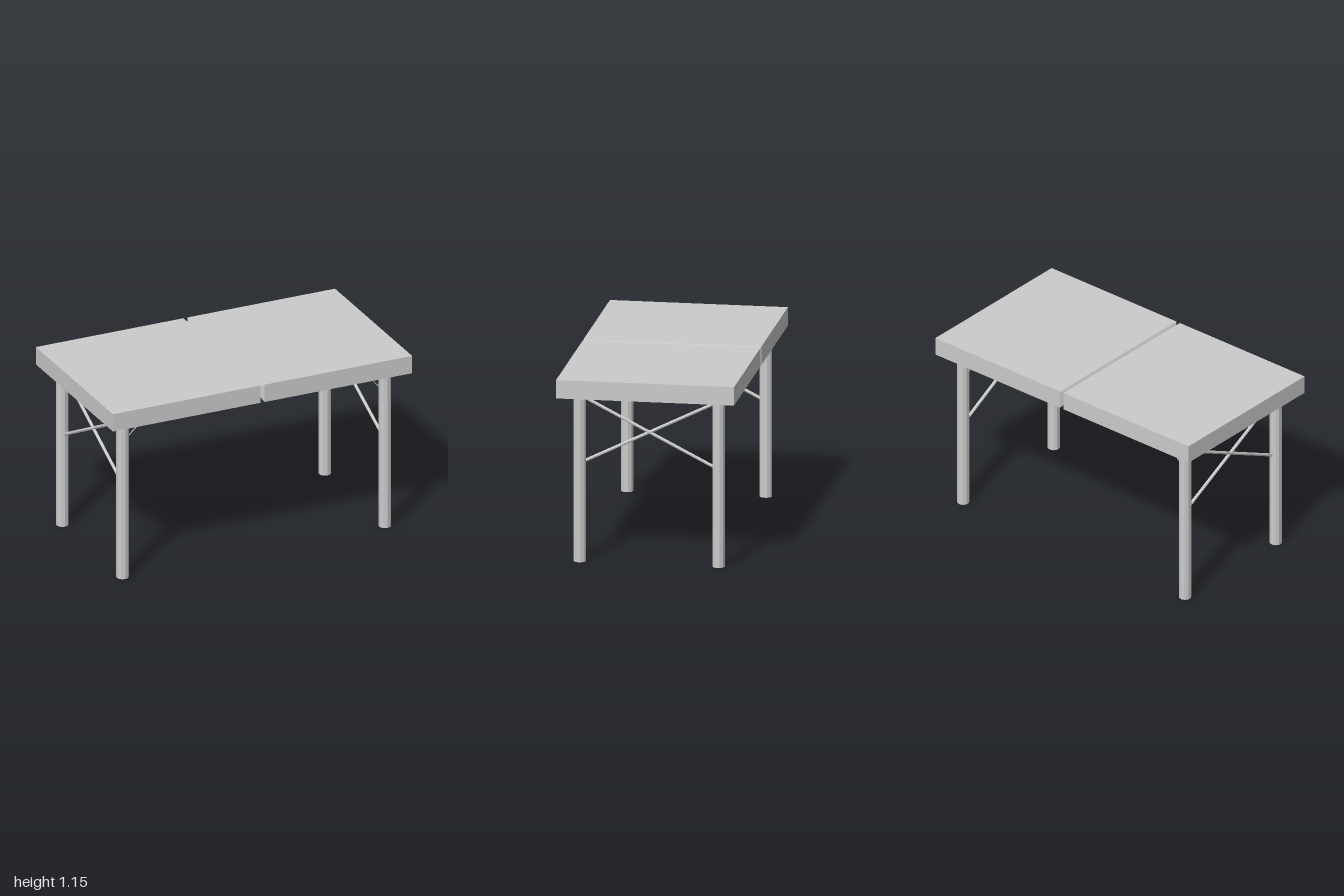
import * as THREE from 'three';

const material = new THREE.MeshStandardMaterial({ color: 0xcccccc, flatShading: true });

function addMesh(parent, name, geometry) {
  const mesh = new THREE.Mesh(geometry, material);
  mesh.name = name;
  parent.add(mesh);
  return mesh;
}

// Straight round bar between two points
function addRod(parent, name, from, to, radius, sides) {
  const a = new THREE.Vector3(...from);
  const b = new THREE.Vector3(...to);
  const direction = b.clone().sub(a);
  const rod = addMesh(parent, name, new THREE.CylinderGeometry(radius, radius, direction.length(), sides));
  rod.position.copy(a).add(b).multiplyScalar(0.5);
  rod.quaternion.setFromUnitVectors(new THREE.Vector3(0, 1, 0), direction.normalize());
}

// Slab with a V groove running all the way round its middle
function tableTopGeometry(width, height, depth, grooveHalf, grooveDepth) {
  const geometry = new THREE.BoxGeometry(width, height, depth, 4, 1, 1);
  const p = geometry.attributes.position;
  for (let i = 0; i < p.count; i++) {
    const x = p.getX(i);
    if (Math.abs(x) < 0.01) {
      p.setY(i, Math.sign(p.getY(i)) * (height / 2 - grooveDepth));
      p.setZ(i, Math.sign(p.getZ(i)) * (depth / 2 - grooveDepth));
    } else if (Math.abs(x) < width * 0.4) {
      p.setX(i, Math.sign(x) * grooveHalf);
    }
  }
  geometry.computeVertexNormals();
  return geometry;
}

export function createModel() {
  const table = new THREE.Group();
  table.name = 'foldingTable';

  const topBottom = 1.038, topHeight = 0.115;
  const legX = 0.877, legRadius = 0.0385;
  const frontZ = 0.42, backZ = -0.43;

  const top = addMesh(table, 'tableTop', tableTopGeometry(2, topHeight, 1.09, 0.014, 0.026));
  top.position.y = topBottom + topHeight / 2;

  for (const side of [-1, 1]) {
    const end = new THREE.Group();
    end.name = side > 0 ? 'leftLegFrame' : 'rightLegFrame';
    table.add(end);

    for (const z of [frontZ, backZ]) {
      const place = z > 0 ? 'front' : 'back';
      addRod(end, place + 'Leg', [side * legX, 0, z], [side * legX, topBottom + 0.002, z], legRadius, 10);

      // Thin stay from the leg up to the underside of the top
      const reach = side > 0 ? 0.74 : 0.715;
      addRod(end, place + 'Stay', [side * 0.845, 0.922, z], [side * reach, topBottom + 0.002, z], 0.003, 6);
    }

    // Crossed braces between the two legs
    const braceX = side > 0 ? 0.858 : -0.873;
    const backX = side > 0 ? 0.847 : -0.873;
    addRod(end, 'fallingBrace', [braceX, 1.02, 0.4], [backX, 0.605, -0.41], 0.01, 8);
    addRod(end, 'risingBrace', [braceX, 0.618, 0.4], [backX, 1.012, -0.41], 0.01, 8);
  }

  return table;
}
